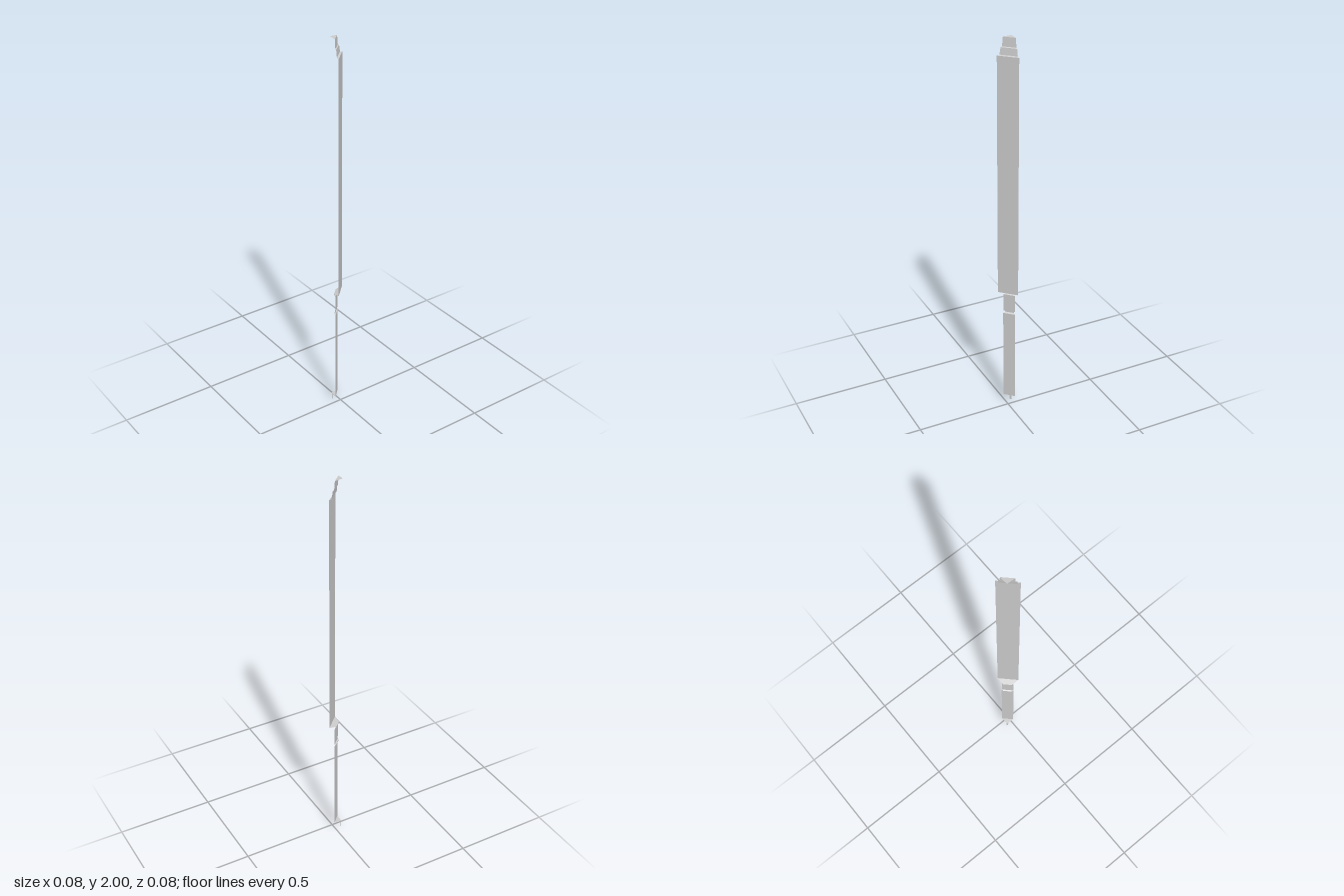
import * as THREE from 'three';

// One flat-sided wedge of a stepped shaft: each part is a single-facet
// lathe sector about a shared corner axis, open along its two cut sides.
const AXIS = { x: -0.035, z: -0.034 };
const START = -0.045;
const SWEEP = Math.PI / 2 + 0.1;

export function createModel() {
  const group = new THREE.Group();
  const material = new THREE.MeshStandardMaterial({
    color: 0xcccccc, flatShading: true, side: THREE.DoubleSide,
  });

  // profile: [radius, height] pairs, listed from bottom to top
  function sector(name, profile) {
    const points = profile.map(([r, y]) => new THREE.Vector2(r, y));
    const mesh = new THREE.Mesh(new THREE.LatheGeometry(points, 1, START, SWEEP), material);
    mesh.name = name;
    mesh.position.set(AXIS.x, 0, AXIS.z);
    group.add(mesh);
  }

  // thin tip and the lower shaft with its closed bottom
  sector('tip', [[0.006, 0], [0.008, 0.04]]);
  sector('lowerShaft', [[0, 0.04], [0.042, 0.042], [0.043, 0.545], [0.032, 0.55]]);

  // grooves either side of the neck
  sector('lowerGroove', [[0.032, 0.55], [0.032, 0.556], [0.041, 0.56]]);
  sector('neck', [[0.041, 0.56], [0.041, 0.655]]);
  sector('upperGroove', [[0.041, 0.655], [0.03, 0.66], [0.03, 0.668]]);

  // wide main panel with ledges at both ends
  sector('mainShaft', [[0.03, 0.668], [0.072, 0.675], [0.072, 1.913], [0.059, 1.916]]);

  // two tapering steps and the top cap
  sector('collar', [[0.059, 1.916], [0.053, 1.95], [0.046, 1.953]]);
  sector('head', [[0.046, 1.953], [0.042, 1.998], [0, 2]]);

  return group;
}
